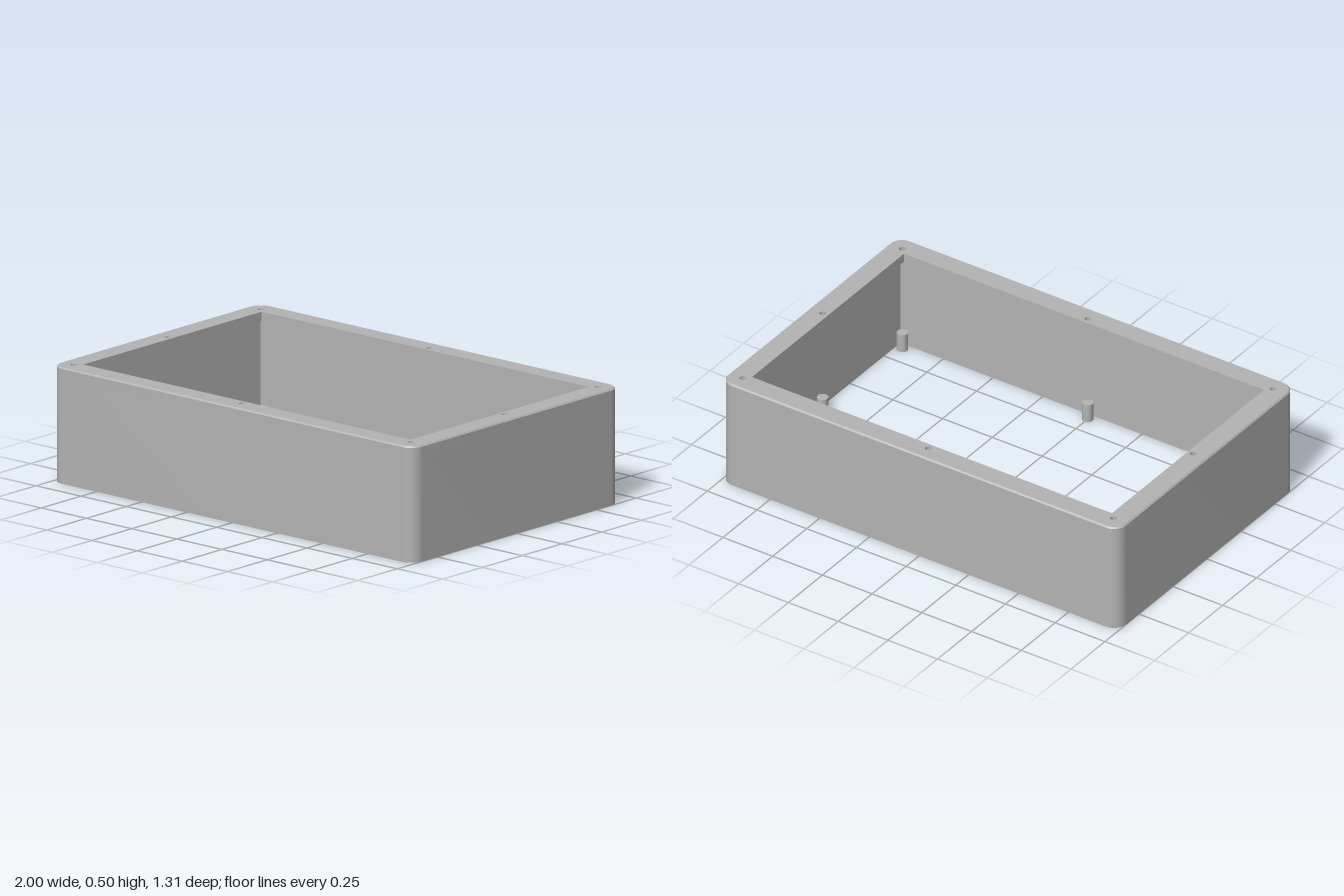
import * as THREE from 'three';
import { toCreasedNormals } from 'three/addons/utils/BufferGeometryUtils.js';

const HX = 1, HZ = 0.655, HEIGHT = 0.5, RIM = 0.04, CORNER = 0.06;

function roundedOutline() {
  const s = new THREE.Shape();
  const cx = HX - CORNER, cz = HZ - CORNER;
  s.absarc(cx, cz, CORNER, 0, Math.PI / 2);
  s.absarc(-cx, cz, CORNER, Math.PI / 2, Math.PI);
  s.absarc(-cx, -cz, CORNER, Math.PI, Math.PI * 1.5);
  s.absarc(cx, -cz, CORNER, Math.PI * 1.5, Math.PI * 2);
  s.closePath();
  return s;
}

function rectHole(x, z) {
  const p = new THREE.Path();
  p.moveTo(-x, -z).lineTo(-x, z).lineTo(x, z).lineTo(x, -z).closePath();
  return p;
}

function extrudeUp(shape, depth, y, steps = 1) {
  const g = new THREE.ExtrudeGeometry(shape, { depth, steps, bevelEnabled: false, curveSegments: 12 });
  return g.rotateX(-Math.PI / 2).translate(0, y, 0);
}

export function createModel() {
  const model = new THREE.Group();
  model.name = 'enclosureFrame';
  const grey = new THREE.MeshStandardMaterial({ color: 0xb3b3b3 });
  grey.name = 'grey';

  function add(name, geometry) {
    const mesh = new THREE.Mesh(toCreasedNormals(geometry, 0.5), grey);
    mesh.name = name;
    model.add(mesh);
    return mesh;
  }

  // Screw positions: four corners and the middle of each side
  const screws = [];
  for (const i of [-1, 0, 1]) for (const j of [-1, 0, 1]) {
    if (i || j) screws.push([i * 0.932, j * 0.587]);
  }

  // Thin outer wall with a square-cornered interior
  const wall = roundedOutline();
  wall.holes.push(rectHole(0.965, 0.62));
  add('wall', extrudeUp(wall, HEIGHT - RIM, 0));

  // Inward top rim with screw holes
  const rim = roundedOutline();
  rim.holes.push(rectHole(0.905, 0.56));
  for (const [x, z] of screws) {
    rim.holes.push(new THREE.Path().absarc(x, z, 0.014, 0, Math.PI * 2, true));
  }
  const rimGeometry = extrudeUp(rim, RIM, HEIGHT - RIM, 6);

  // Slight chamfer on the outer top edge
  const p = rimGeometry.attributes.position;
  const pull = (v, half) => v - Math.sign(v) * 0.006 * THREE.MathUtils.clamp((Math.abs(v) - half + CORNER) / CORNER, 0, 1);
  for (let i = 0; i < p.count; i++) {
    const x = p.getX(i), z = p.getZ(i);
    const outer = Math.abs(x) > 0.96 || Math.abs(z) > 0.615;
    if (outer && p.getY(i) > HEIGHT - 0.001) {
      p.setX(i, pull(x, HX));
      p.setZ(i, pull(z, HZ));
    }
  }
  add('topRim', rimGeometry);

  // Screw posts at floor level, bored from below
  const profile = [[0, 0.065], [0.013, 0.065], [0.013, 0], [0.024, 0], [0.024, 0.083], [0, 0.083]]
    .map(([r, y]) => new THREE.Vector2(r, y));
  for (const [x, z] of screws) {
    add('screwPost', new THREE.LatheGeometry(profile, 24)).position.set(x, 0, z);
  }
  return model;
}
